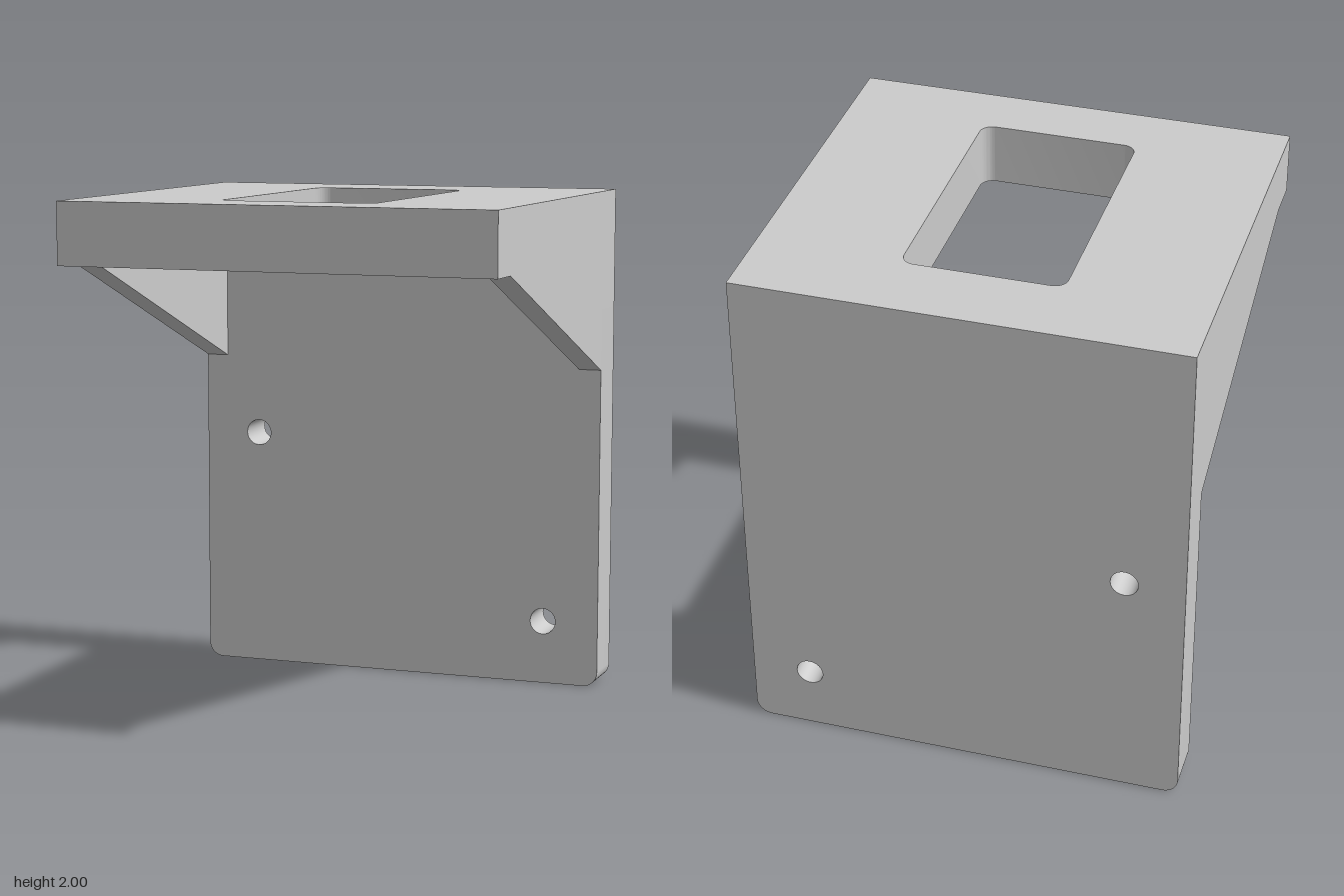
import * as THREE from 'three';
import { toCreasedNormals } from 'three/addons/utils/BufferGeometryUtils.js';

const W = 0.85;                       // half width
const BACK = -0.79, FRONT = 0.79;     // overall depth
const WALL = -0.6;                    // front face of the back plate
const TOP = 2, SHELF = 1.76;          // top and underside of the shelf
const SIDE = 0.09;                    // gusset thickness

const material = new THREE.MeshStandardMaterial({ color: 0xcccccc });

function extrude(shape, depth) {
  const geometry = new THREE.ExtrudeGeometry(shape, { depth, bevelEnabled: false, curveSegments: 12 });
  return toCreasedNormals(geometry, 0.6);
}

// Rectangle outline with separate radii for the bottom and top corners
function roundedRect(path, x0, y0, x1, y1, rBottom, rTop) {
  path.moveTo(x0 + rBottom, y0);
  path.lineTo(x1 - rBottom, y0);
  if (rBottom) path.absarc(x1 - rBottom, y0 + rBottom, rBottom, -Math.PI / 2, 0);
  path.lineTo(x1, y1 - rTop);
  if (rTop) path.absarc(x1 - rTop, y1 - rTop, rTop, 0, Math.PI / 2);
  path.lineTo(x0 + rTop, y1);
  if (rTop) path.absarc(x0 + rTop, y1 - rTop, rTop, Math.PI / 2, Math.PI);
  path.lineTo(x0, y0 + rBottom);
  if (rBottom) path.absarc(x0 + rBottom, y0 + rBottom, rBottom, Math.PI, Math.PI * 1.5);
  return path;
}

export function createModel() {
  const group = new THREE.Group();
  group.name = 'mountingBracket';

  function add(name, geometry) {
    const mesh = new THREE.Mesh(geometry, material);
    mesh.name = name;
    group.add(mesh);
  }

  // Upright back plate with rounded lower corners and two screw holes
  const plate = roundedRect(new THREE.Shape(), -W, 0, W, SHELF, 0.06, 0);
  for (const [x, y] of [[-0.62, 0.97], [0.62, 0.255]]) {
    plate.holes.push(new THREE.Path().absarc(x, y, 0.053, 0, Math.PI * 2, true));
  }
  add('backPlate', extrude(plate, WALL - BACK).translate(0, 0, BACK));

  // Horizontal shelf with a rounded rectangular opening
  const shelf = roundedRect(new THREE.Shape(), -W, -FRONT, W, -BACK, 0, 0);
  shelf.holes.push(roundedRect(new THREE.Path(), -0.305, -0.545, 0.305, 0.49, 0.05, 0.05));
  add('shelf', extrude(shelf, TOP - SHELF).rotateX(-Math.PI / 2).translate(0, SHELF, 0));

  // Triangular gussets joining shelf and back plate, drawn in (z, y)
  const gusset = new THREE.Shape([
    new THREE.Vector2(WALL, 1.29),
    new THREE.Vector2(0.64, SHELF),
    new THREE.Vector2(WALL, SHELF),
  ]);
  for (const [name, x] of [['leftGusset', W], ['rightGusset', -W + SIDE]]) {
    add(name, extrude(gusset, SIDE).rotateY(-Math.PI / 2).translate(x, 0, 0));
  }

  return group;
}
